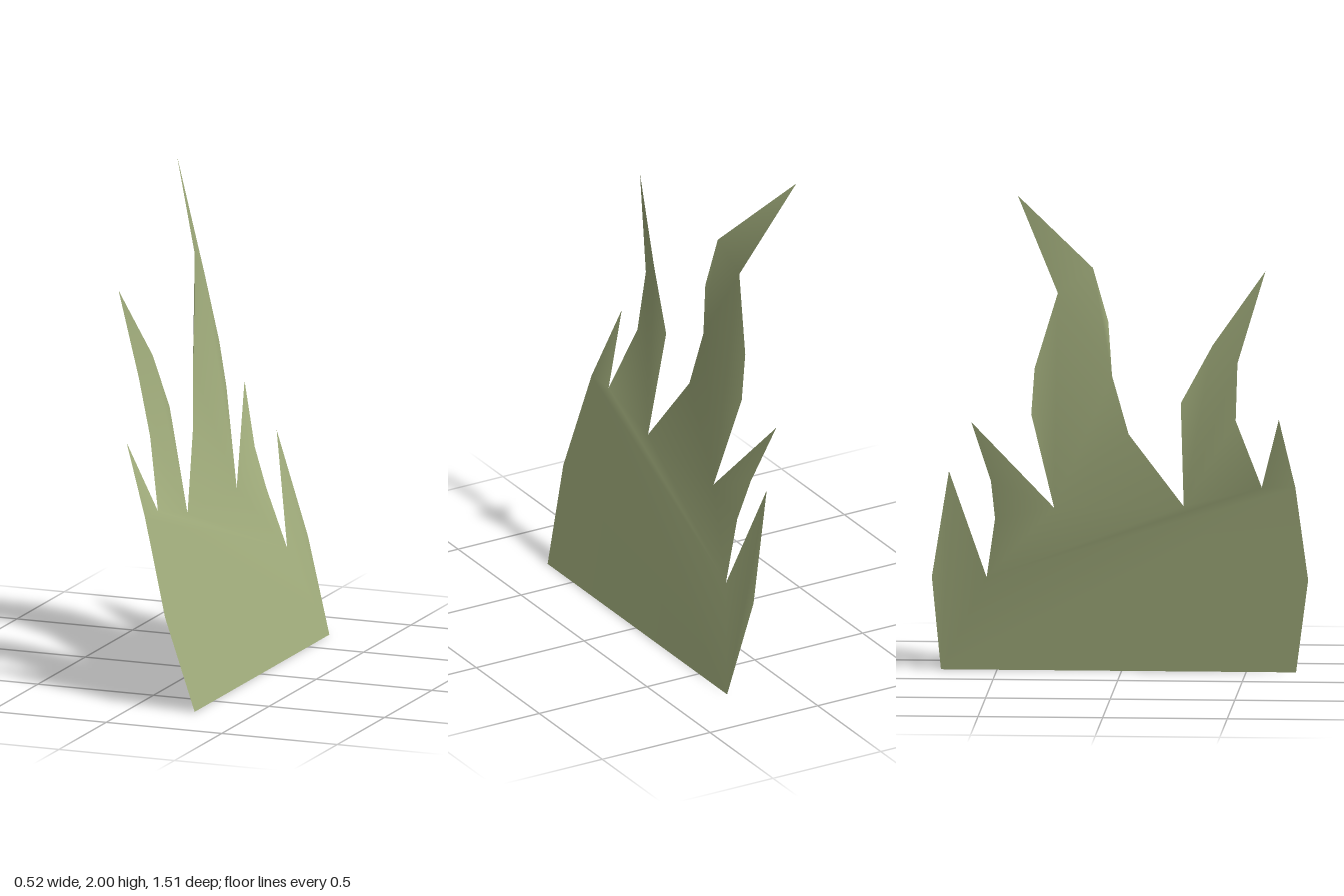
import * as THREE from 'three';

// Outline of the curved sheet, clockwise seen from +x: [x, y, z]
const OUTLINE = [
  [0.26, 0, 0.70], [0.155, 0.39, 0.755], [0.05, 0.78, 0.71],                 // 0-2 front edge
  [-0.055, 1.07, 0.65], [0.05, 0.78, 0.575],                                 // 3-4 small front tongue
  [-0.025, 1.06, 0.475], [-0.07, 1.30, 0.485], [-0.11, 1.68, 0.60],          // 5-10 front tongue
  [-0.05, 1.37, 0.385], [-0.03, 1.13, 0.255], [0.05, 0.70, 0.262],
  [-0.015, 1.0, 0.045], [-0.042, 1.24, -0.02], [-0.042, 1.46, -0.035],       // 11-19 tall tongue
  [-0.065, 1.68, -0.095], [-0.26, 2.0, -0.385], [-0.083, 1.58, -0.235],
  [-0.055, 1.27, -0.33], [-0.03, 1.08, -0.345], [0.05, 0.69, -0.258],
  [-0.05, 1.05, -0.585], [0.025, 0.80, -0.51], [0.08, 0.64, -0.497],         // 20-23 back tongue
  [0.155, 0.39, -0.535],
  [0.05, 0.835, -0.68], [0.155, 0.39, -0.755], [0.26, 0, -0.725],            // 24-26 back edge
];

const range = (a, b) => Array.from({ length: b - a + 1 }, (_, i) => a + i);

// Regions that share corners along the roots of the tongues
const REGIONS = [
  [...range(0, 4), ...range(23, 26)], // base
  [4, 10, 19, 23],                    // root band
  range(4, 10),                       // front tongue
  range(10, 19),                      // tall tongue
  range(19, 23),                      // back tongue
];

function fillRegion(ids) {
  const pts = ids.map((i) => new THREE.Vector2(-OUTLINE[i][2], OUTLINE[i][1]));
  return THREE.ShapeUtils.triangulateShape(pts, []).flatMap(([a, b, c]) => {
    // Keep every triangle facing +x
    const facing = THREE.ShapeUtils.area([pts[a], pts[b], pts[c]]) > 0;
    return (facing ? [a, b, c] : [a, c, b]).map((k) => ids[k]);
  });
}

export function createModel() {
  const group = new THREE.Group();
  group.name = 'flameShape';

  const sageGreen = new THREE.MeshStandardMaterial({ color: 0xa5b17f, side: THREE.DoubleSide });
  sageGreen.name = 'sageGreen';

  // One smooth sheet with shared vertices
  const geometry = new THREE.BufferGeometry();
  geometry.setAttribute('position', new THREE.Float32BufferAttribute(OUTLINE.flat(), 3));
  geometry.setIndex(REGIONS.flatMap(fillRegion));
  geometry.computeVertexNormals();

  const sheet = new THREE.Mesh(geometry, sageGreen);
  sheet.name = 'flameSheet';
  group.add(sheet);
  return group;
}
